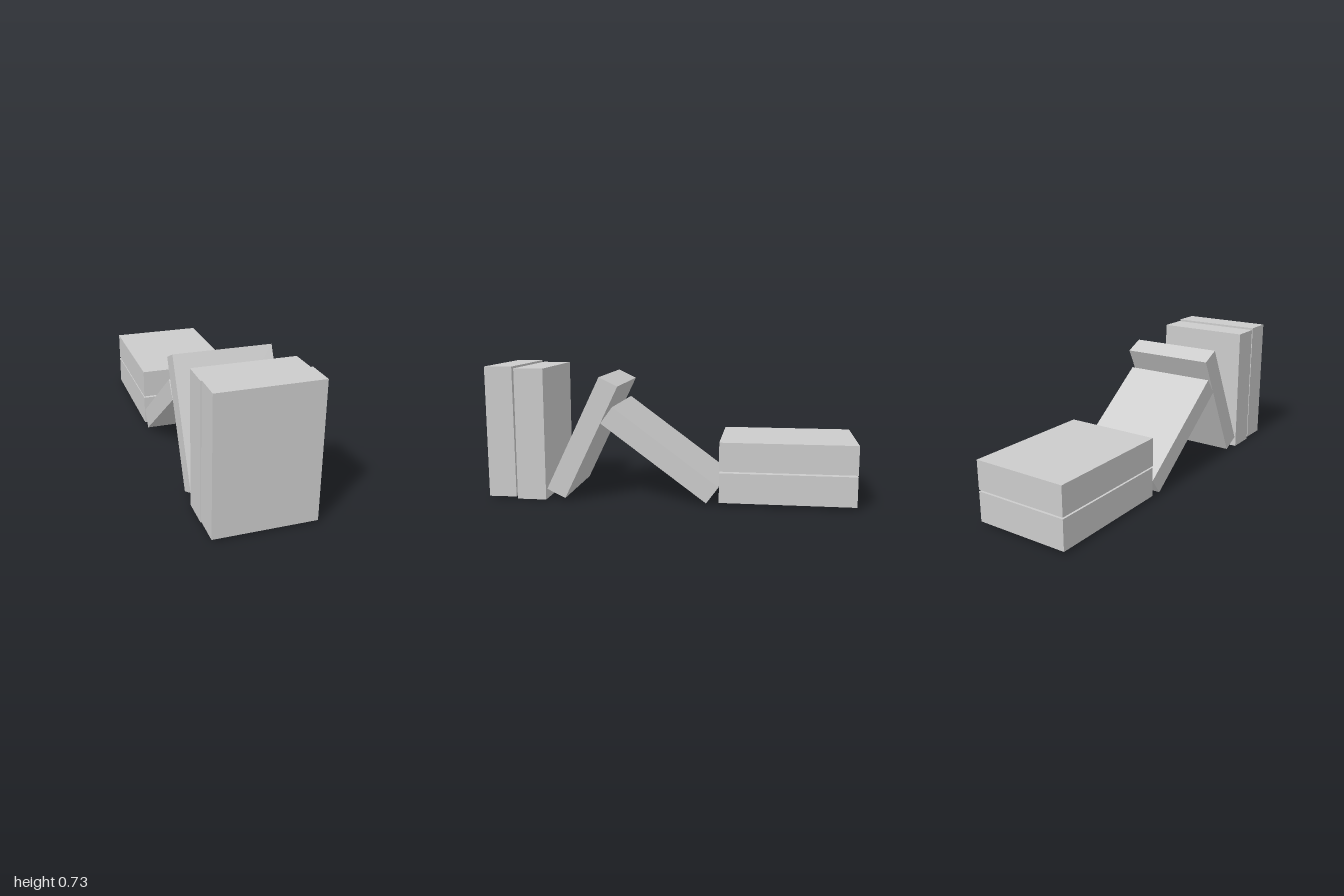
import * as THREE from 'three';

const WIDTH = 0.53;

export function createModel() {
  const group = new THREE.Group();
  const material = new THREE.MeshStandardMaterial({ color: 0xcccccc, flatShading: true });

  // Each case is a plain box standing on end, then leaned about x by the tilt.
  const addCase = (name, length, thickness, x, y, z, tilt) => {
    const mesh = new THREE.Mesh(new THREE.BoxGeometry(WIDTH, length, thickness), material);
    mesh.name = name;
    mesh.position.set(x, y, z);
    mesh.rotation.x = tilt;
    group.add(mesh);
  };

  // Upright pair at the front
  addCase('uprightCaseFront', 0.72, 0.154, -0.002, 0.371, 0.922, 0.005);
  addCase('uprightCaseBack', 0.722, 0.162, -0.002, 0.361, 0.755, 0);

  // Two thinner cases propped against each other
  addCase('leaningCase', 0.686, 0.112, 0.001, 0.347, 0.465, -0.45);
  addCase('slopingCase', 0.71, 0.11, 0, 0.266, 0.043, 0.936);

  // Flat stack at the back
  addCase('stackedCaseLower', 0.722, 0.162, -0.002, 0.097, -0.639, Math.PI / 2);
  addCase('stackedCaseUpper', 0.722, 0.156, -0.002, 0.265, -0.639, Math.PI / 2);

  return group;
}
